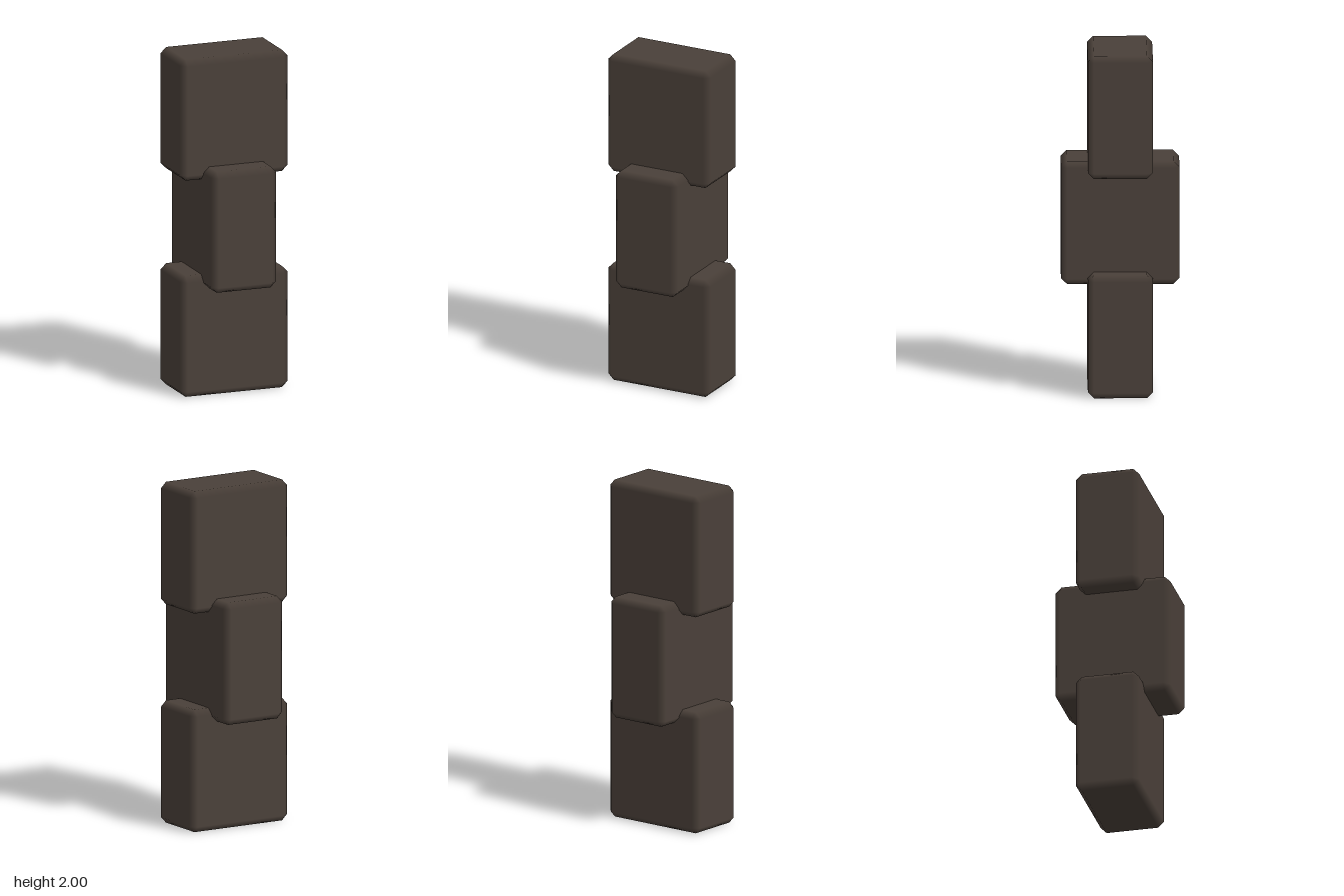
import * as THREE from 'three';

// Box with one 45-degree bevel on every edge; normals stay flat on the six
// faces and blend smoothly across the bevels.
function bevelledBox(width, height, depth, bevel) {
  const half = [width / 2, height / 2, depth / 2];
  const signs = [-1, 1];
  const positions = [], normals = [], index = [];

  // Three vertices per corner, one on each of the faces meeting there
  for (let axis = 0; axis < 3; axis++)
    for (const x of signs) for (const y of signs) for (const z of signs) {
      const s = [x, y, z];
      positions.push(...s.map((v, k) => v * (half[k] - (k === axis ? 0 : bevel))));
      normals.push(...s.map((v, k) => (k === axis ? v : 0)));
    }

  const id = (axis, s) => axis * 8 + (s[0] > 0 ? 4 : 0) + (s[1] > 0 ? 2 : 0) + (s[2] > 0 ? 1 : 0);
  const point = i => new THREE.Vector3().fromArray(positions, i * 3);

  // Add a triangle, turned so that it faces outwards
  const tri = (a, b, c) => {
    const [p, q, r] = [a, b, c].map(point);
    const n = q.clone().sub(p).cross(r.clone().sub(p));
    if (n.dot(p.add(q).add(r)) > 0) index.push(a, b, c);
    else index.push(a, c, b);
  };
  const quad = (a, b, c, d) => { tri(a, b, c); tri(a, c, d); };
  const corner = (i, si, j, sj, k, sk) => {
    const s = [];
    s[i] = si; s[j] = sj; s[k] = sk;
    return s;
  };

  for (let i = 0; i < 3; i++) {
    const j = (i + 1) % 3, k = (i + 2) % 3;
    for (const a of signs) {
      // Flat face
      const at = (b, c) => id(i, corner(i, a, j, b, k, c));
      quad(at(-1, -1), at(1, -1), at(1, 1), at(-1, 1));
      // Edge bevels between faces i and j
      for (const b of signs) {
        const lo = corner(i, a, j, b, k, -1), hi = corner(i, a, j, b, k, 1);
        quad(id(i, lo), id(i, hi), id(j, hi), id(j, lo));
      }
    }
  }
  // Corner triangles
  for (const x of signs) for (const y of signs) for (const z of signs)
    tri(id(0, [x, y, z]), id(1, [x, y, z]), id(2, [x, y, z]));

  const geometry = new THREE.BufferGeometry();
  geometry.setAttribute('position', new THREE.Float32BufferAttribute(positions, 3));
  geometry.setAttribute('normal', new THREE.Float32BufferAttribute(normals, 3));
  geometry.setIndex(index);
  return geometry;
}

export function createModel() {
  const group = new THREE.Group();
  group.name = 'chainSegment';
  const darkBrown = new THREE.MeshStandardMaterial({ color: 0x4a4039 });
  darkBrown.name = 'darkBrown';

  // Overlapping links, alternately turned: name, width, depth, bottom, top
  const links = [
    ['lowerLink', 0.664, 0.374, 0, 0.718],
    ['middleLink', 0.402, 0.68, 0.642, 1.36],
    ['upperLink', 0.664, 0.374, 1.282, 2],
  ];
  for (const [name, width, depth, bottom, top] of links) {
    const link = new THREE.Mesh(bevelledBox(width, top - bottom, depth, 0.035), darkBrown);
    link.name = name;
    link.position.y = (bottom + top) / 2;
    group.add(link);
  }
  return group;
}
